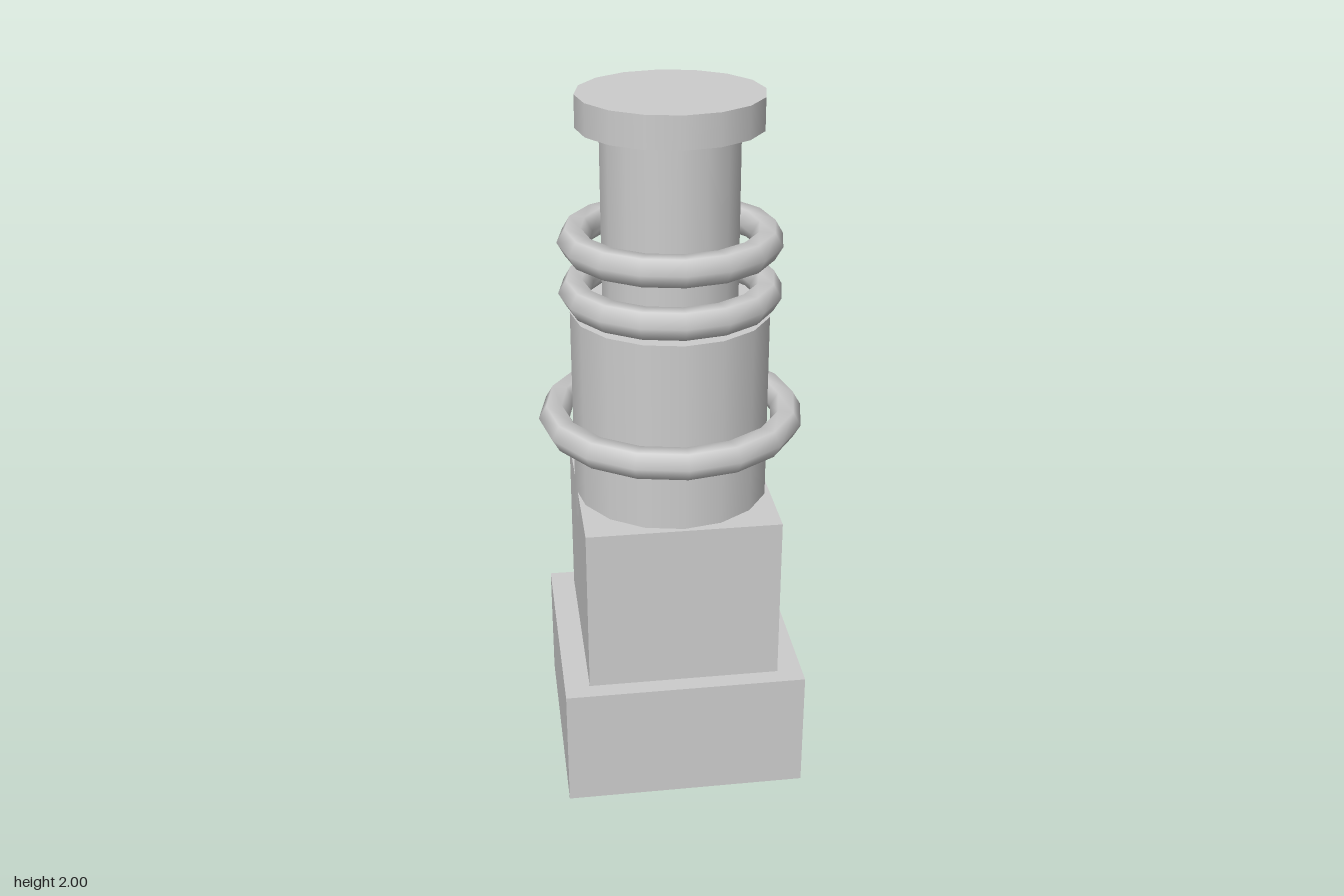
import * as THREE from 'three';

export function createModel() {
  const group = new THREE.Group();
  const material = new THREE.MeshStandardMaterial({ color: 0xcccccc });

  const add = (name, geometry, y) => {
    const mesh = new THREE.Mesh(geometry, material);
    mesh.name = name;
    mesh.position.y = y;
    group.add(mesh);
  };
  const block = (name, w, d, y0, y1) =>
    add(name, new THREE.BoxGeometry(w, y1 - y0, d), (y0 + y1) / 2);
  const drum = (name, r, y0, y1) =>
    add(name, new THREE.CylinderGeometry(r, r, y1 - y0, 16), (y0 + y1) / 2);
  const ring = (name, radius, y) =>
    add(name, new THREE.TorusGeometry(radius, 0.044, 6, 16).rotateX(Math.PI / 2), y);

  // Square plinth
  block('base', 0.694, 0.686, 0, 0.36);
  block('pedestal', 0.55, 0.583, 0.36, 0.853);

  // Round column, its foot sunk into the pedestal
  drum('lowerColumn', 0.28, 0.77, 1.4);
  drum('upperColumn', 0.19, 1.4, 1.912);
  drum('cap', 0.253, 1.912, 2);

  // Loose rings around the column
  ring('lowerRing', 0.333, 1.083);
  ring('middleRing', 0.266, 1.457);
  ring('upperRing', 0.266, 1.602);

  return group;
}
